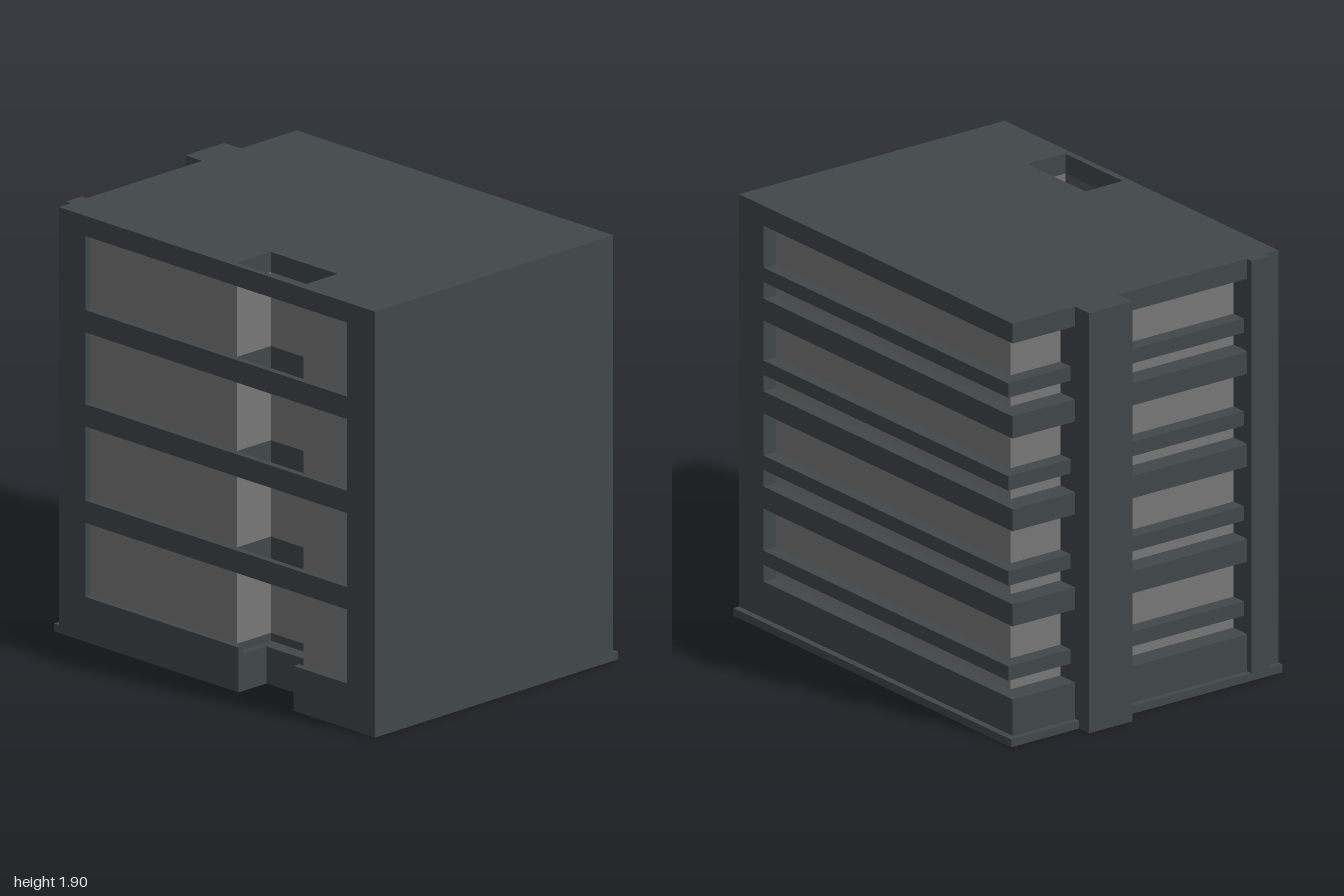
import * as THREE from 'three';

const concrete = new THREE.MeshStandardMaterial({ color: 0x41474a });
concrete.name = 'dark concrete';
const glazing = new THREE.MeshStandardMaterial({ color: 0x777777 });
glazing.name = 'grey glazing';

export function createModel() {
  const group = new THREE.Group();

  const add = (name, geometry, material) => {
    const mesh = new THREE.Mesh(geometry, material);
    mesh.name = name;
    group.add(mesh);
    return mesh;
  };

  // Box given by its limits on each axis
  const box = (name, [x0, x1], [y0, y1], [z0, z1], material = concrete) =>
    add(name, new THREE.BoxGeometry(x1 - x0, y1 - y0, z1 - z0), material)
      .position.set((x0 + x1) / 2, (y0 + y1) / 2, (z0 + z1) / 2);

  // Storey plan with a notch cut into its front edge
  const storey = (name, [x0, x1], [y0, y1], [z0, z1], [n0, n1, nz], material = concrete) => {
    const plan = [[x0, z1], [n0, z1], [n0, nz], [n1, nz], [n1, z1], [x1, z1], [x1, z0], [x0, z0]];
    const shape = new THREE.Shape(plan.map(([x, z]) => new THREE.Vector2(x, -z)));
    const geometry = new THREE.ExtrudeGeometry(shape, { depth: y1 - y0, bevelEnabled: false });
    geometry.rotateX(-Math.PI / 2).translate(0, y0, 0);
    add(name, geometry, material);
  };

  const H = 1.9;
  const openings = [[0.2, 0.53], [0.63, 0.96], [1.06, 1.38], [1.48, 1.81]];
  const shaft = [0.14, 0.54, 0.49];
  const entry = [0.18, 0.51, 0.555];

  // Plinth and ground storey, with the entry cut in
  storey('plinth', [-0.93, 1], [0, 0.035], [-0.72, 0.72], entry);
  storey('groundBase', [-0.9, 0.83], [0.035, 0.165], [-0.69, 0.69], entry);

  // Floor bands between the window rows, and the roof
  const bands = [[0.165, 0.2], [0.53, 0.63], [0.96, 1.06], [1.38, 1.48], [1.81, H]];
  bands.forEach((y, i) => storey(i === 4 ? 'roof' : 'floorBand', [-0.9, 0.83], y, [-0.69, 0.69], shaft));

  // Glazed storeys set back behind the bands, with a thin rail wrapping the corner
  for (const [y0, y1] of openings) {
    storey('glazing', [-0.8, 0.83], [y0, y1], [-0.625, 0.69], shaft, glazing);
    const rail = [y0 + 0.075, y0 + 0.14];
    box('backRail', [-0.87, 0.83], rail, [-0.69, -0.62]);
    box('sideRail', [-0.87, -0.79], rail, [-0.62, 0.56]);
  }

  // Solid walls and pilasters
  box('sideWall', [0.83, 1], [0.035, H], [-0.69, 0.69]);
  box('cornerWall', [-0.9, -0.74], [0.035, H], [0.56, 0.69]);
  box('sidePilaster', [-1, -0.79], [0, H], [-0.36, -0.13]);
  box('cornerPilaster', [-0.93, -0.89], [0.035, H], [0.555, 0.65]);

  // Front frame: the lowest opening joins the entry, the others are holes
  const outline = [
    [-0.9, 0.035], [0.18, 0.035], [0.18, 0.2], [-0.74, 0.2], [-0.74, 0.53], [0.83, 0.53],
    [0.83, 0.2], [0.51, 0.2], [0.51, 0.035], [1, 0.035], [1, H], [-0.9, H],
  ];
  const frame = new THREE.Shape(outline.map(([x, y]) => new THREE.Vector2(x, y)));
  for (const [y0, y1] of openings.slice(1)) {
    const corners = [[-0.74, y0], [-0.74, y1], [0.83, y1], [0.83, y0]];
    frame.holes.push(new THREE.Path(corners.map(([x, y]) => new THREE.Vector2(x, y))));
  }
  const frontFrame = new THREE.ExtrudeGeometry(frame, { depth: 0.03, bevelEnabled: false });
  add('frontFrame', frontFrame.translate(0, 0, 0.69), concrete);

  return group;
}
